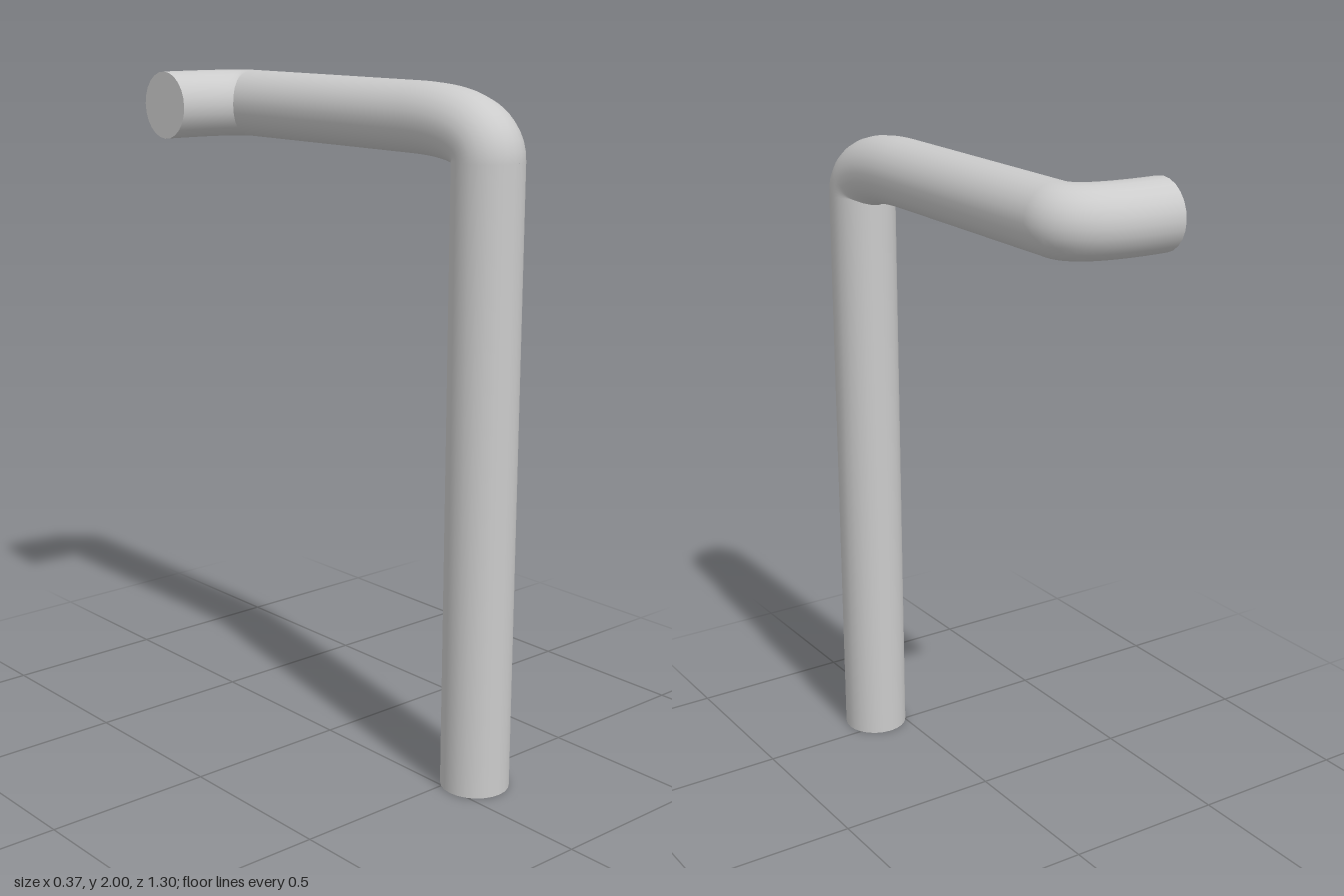
import * as THREE from 'three';

const R = 0.1, SIDES = 24;
const v = (x, y, z) => new THREE.Vector3(x, y, z);

export function createModel() {
  const group = new THREE.Group();
  group.name = 'bentPipe';
  const material = new THREE.MeshStandardMaterial({ color: 0xcccccc });
  const add = (name, geometry) => {
    const mesh = new THREE.Mesh(geometry, material);
    mesh.name = name;
    group.add(mesh);
    return mesh;
  };

  // Centre line: upright, tight bend, level arm, tight sideways bend
  const x = 0.083, top = 1.9, z = 0.55;
  const foot = v(x, 0, z), bendStart = v(x, top - 0.1, z), bendEnd = v(x, top, z - 0.265);
  const armEnd = v(x, top, -z + 0.1), tip = v(-0.185, top, -z);
  const tube = (name, curve, steps) => add(name, new THREE.TubeGeometry(curve, steps, R, SIDES));
  tube('upright', new THREE.LineCurve3(foot, bendStart), 1);
  tube('upperBend', new THREE.QuadraticBezierCurve3(bendStart, v(x, top, z), bendEnd), 24);
  tube('arm', new THREE.LineCurve3(bendEnd, armEnd), 1);
  tube('sideBend', new THREE.QuadraticBezierCurve3(armEnd, v(x, top, -z), tip), 24);

  // Flat end caps
  const footCap = add('footCap', new THREE.CircleGeometry(R, SIDES));
  footCap.position.copy(foot);
  footCap.rotation.x = Math.PI / 2;
  const tipCap = add('tipCap', new THREE.CircleGeometry(R, SIDES));
  tipCap.position.copy(tip);
  tipCap.rotation.y = -Math.PI / 2;

  return group;
}
